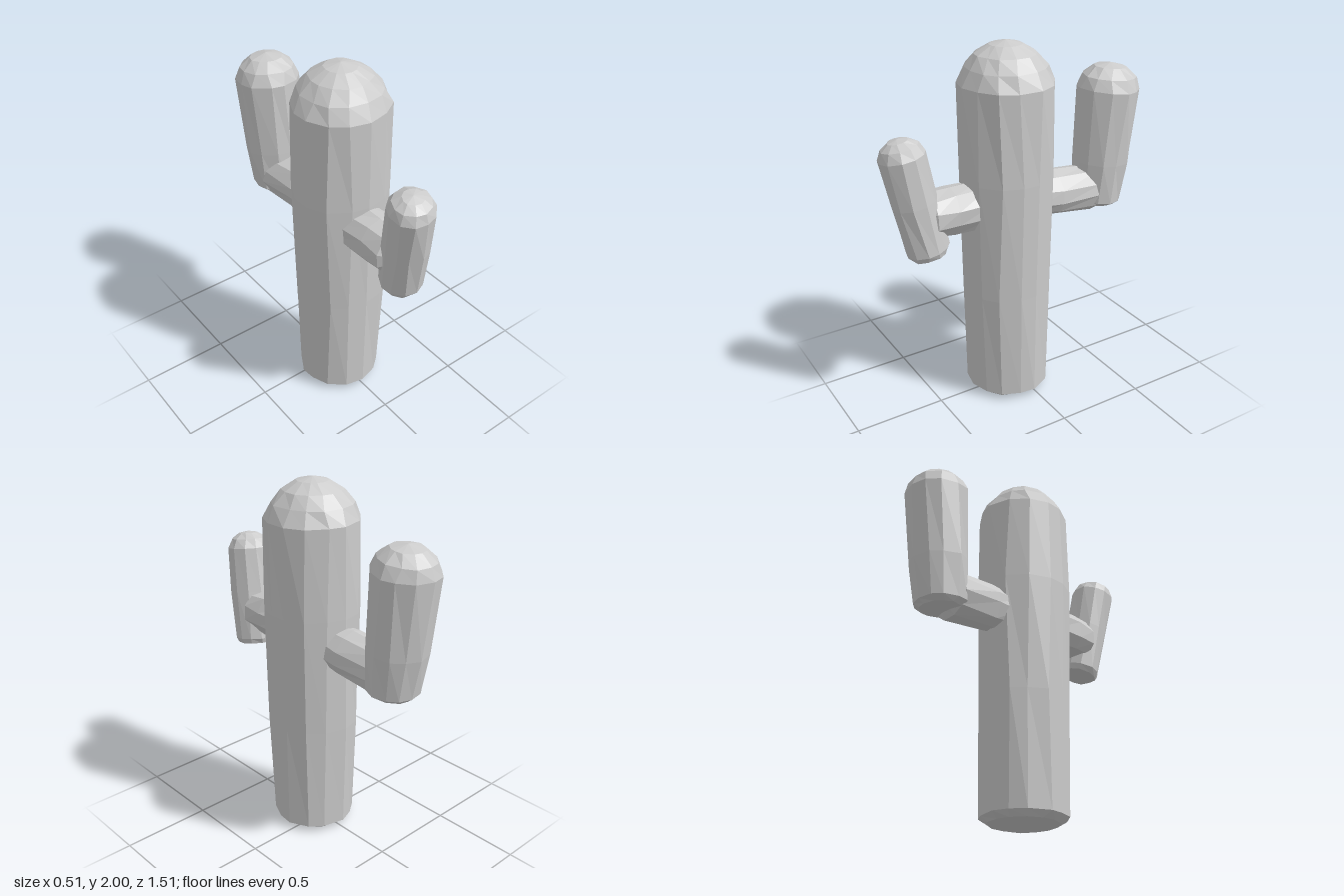
import * as THREE from 'three';
import { mergeVertices } from 'three/addons/utils/BufferGeometryUtils.js';

const material = new THREE.MeshStandardMaterial({ color: 0xcccccc, flatShading: true });

// Small repeatable noise in -1..1
function seeded(seed) {
  let s = seed;
  return () => {
    s = (s * 16807) % 2147483647;
    return (s / 2147483647) * 2 - 1;
  };
}

// Faceted limb: a [radius, height] profile turned about the line base -> tip,
// with each vertex nudged a little so the facets look hand-cut.
function limb(name, base, tip, profile, sides, seed, rough = 0.04) {
  const points = profile.map(([r, h]) => new THREE.Vector2(r, h));
  let geometry = new THREE.LatheGeometry(points, sides);
  geometry.deleteAttribute('normal');
  geometry.deleteAttribute('uv');
  geometry = mergeVertices(geometry, 1e-4);

  const random = seeded(seed);
  const position = geometry.attributes.position;
  for (let i = 0; i < position.count; i++) {
    const x = position.getX(i), z = position.getZ(i);
    const radius = Math.hypot(x, z);
    if (radius < 0.001) continue;
    const scale = 1 + rough * random() - rough * 0.3;
    const turn = Math.atan2(z, x) + rough * 2 * random();
    const lift = rough * 0.25 * random() * radius;
    position.setXYZ(i, Math.cos(turn) * radius * scale, position.getY(i) + lift, Math.sin(turn) * radius * scale);
  }
  geometry.computeVertexNormals();

  const mesh = new THREE.Mesh(geometry, material);
  mesh.name = name;
  const start = new THREE.Vector3(...base);
  const axis = new THREE.Vector3(...tip).sub(start).normalize();
  mesh.position.copy(start);
  mesh.quaternion.setFromUnitVectors(new THREE.Vector3(0, 1, 0), axis);
  return mesh;
}

export function createModel() {
  const group = new THREE.Group();
  group.name = 'cactus';

  // Trunk with a bevelled foot and domed crown
  const trunk = [
    [0, 0], [0.19, 0.005], [0.233, 0.035], [0.247, 0.65], [0.258, 1.3], [0.254, 1.79],
    [0.215, 1.87], [0.16, 1.935], [0.085, 1.98], [0, 2],
  ];
  group.add(limb('trunk', [0, 0, 0.06], [0, 2, 0.06], trunk, 14, 11, 0.03));

  // Front arm: short stub and a leaning upright
  const frontStub = [[0, 0], [0.135, 0], [0.132, 0.2], [0.125, 0.32], [0.07, 0.37], [0, 0.37]];
  group.add(limb('frontArmStub', [-0.01, 1.15, 0.2], [-0.01, 1.16, 0.57], frontStub, 10, 23));
  const frontUpright = [
    [0, 0], [0.1, 0], [0.115, 0.03], [0.123, 0.3], [0.123, 0.55],
    [0.1, 0.6], [0.055, 0.63], [0, 0.64],
  ];
  group.add(limb('frontArmUpright', [0.02, 0.955, 0.54], [-0.04, 1.58, 0.652], frontUpright, 11, 37));

  // Back arm: longer, thicker upright
  const backStub = [[0, 0], [0.115, 0], [0.128, 0.15], [0.132, 0.4], [0.08, 0.43], [0, 0.43]];
  group.add(limb('backArmStub', [0, 1.13, -0.08], [0, 1.1, -0.5], backStub, 11, 41));
  const backUpright = [
    [0, 0], [0.11, 0], [0.142, 0.025], [0.162, 0.25], [0.176, 0.66],
    [0.15, 0.725], [0.09, 0.775], [0, 0.795],
  ];
  group.add(limb('backArmUpright', [0.005, 1.005, -0.53], [0.005, 1.797, -0.596], backUpright, 12, 59));

  return group;
}
